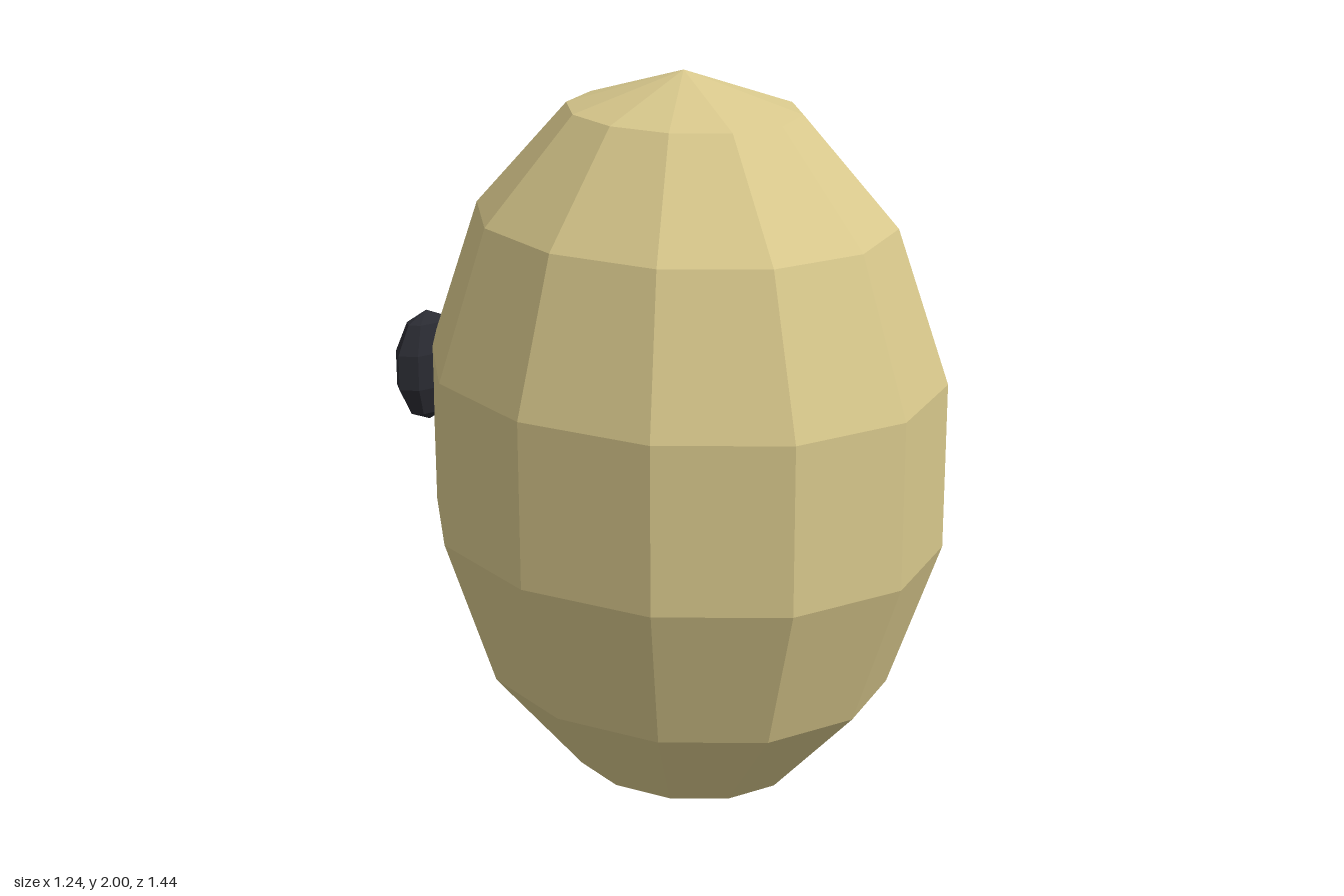
import * as THREE from 'three';

// Faceted ellipsoid with given radii
function ellipsoid(name, material, radii, sides, rings) {
  const geometry = new THREE.SphereGeometry(1, sides, rings).scale(...radii);
  const mesh = new THREE.Mesh(geometry, material);
  mesh.name = name;
  return mesh;
}

export function createModel() {
  const model = new THREE.Group();
  model.name = 'eggCreature';
  const shell = new THREE.MeshStandardMaterial({ color: 0xd8c88c, flatShading: true });
  const dark = new THREE.MeshStandardMaterial({ color: 0x2a2b32, flatShading: true });

  // Egg-shaped body
  const body = ellipsoid('body', shell, [0.637, 1, 0.741], 12, 7);
  body.position.y = 1;
  model.add(body);

  // Pair of oval eyes, set into the -z side
  for (const side of [1, -1]) {
    const eye = ellipsoid(side > 0 ? 'leftEye' : 'rightEye', dark, [0.112, 0.154, 0.064], 8, 5);
    eye.position.set(side * 0.301, 1.155, -0.654);
    model.add(eye);
  }
  return model;
}
